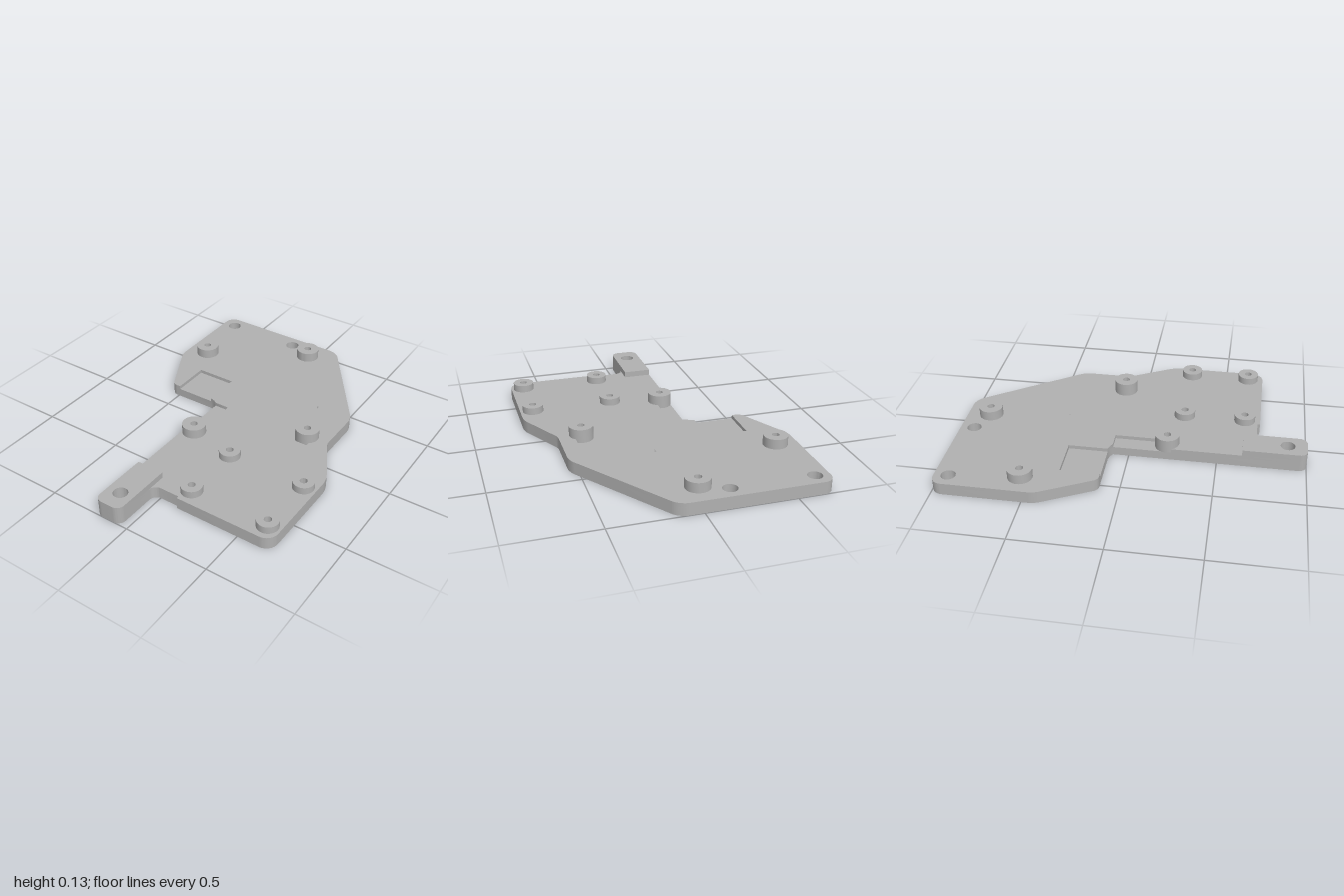
import * as THREE from 'three';
import { toCreasedNormals } from 'three/addons/utils/BufferGeometryUtils.js';

const FLOOR = 0.05, TOP = 0.071, TAB_TOP = 0.106;

// Closed outline from [x, z, cornerCut] points; cornerCut rounds the corner.
function trace(points, path = new THREE.Shape()) {
  const n = points.length;
  const p = points.map(([x, z]) => new THREE.Vector2(x, -z));
  points.forEach(([, , cut = 0], i) => {
    const c = p[i];
    const toward = (q, d) => c.clone().addScaledVector(q.clone().sub(c).normalize(), d);
    const prev = p[(i + n - 1) % n], next = p[(i + 1) % n];
    const a = toward(prev, cut), b = toward(next, cut);
    if (i === 0) path.moveTo(a.x, a.y); else path.lineTo(a.x, a.y);
    if (cut > 0) {
      const c1 = toward(prev, cut * 0.448), c2 = toward(next, cut * 0.448);
      path.bezierCurveTo(c1.x, c1.y, c2.x, c2.y, b.x, b.y);
    }
  });
  path.closePath();
  return path;
}

function circle(x, z, r, path = new THREE.Path()) {
  path.absarc(x, -z, r, 0, Math.PI * 2, false);
  return path;
}

// Extrude a plan shape upwards from y0 to y1.
function slab(name, shape, y0, y1, material) {
  const geo = new THREE.ExtrudeGeometry(shape, { depth: y1 - y0, bevelEnabled: false, curveSegments: 16 });
  geo.rotateX(-Math.PI / 2).translate(0, y0, 0);
  const mesh = new THREE.Mesh(toCreasedNormals(geo, 0.6), material);
  mesh.name = name;
  return mesh;
}

export function createModel() {
  const group = new THREE.Group();
  group.name = 'mountingPlate';
  const grey = new THREE.MeshStandardMaterial({ color: 0xb0b0b0 });
  grey.name = 'grey';

  // Plate outline, with optional notches where pockets break through the edge
  const outline = (sideNotch, cornerNotch) => [
    [-0.705, -1, 0.06], [0.13, -1, 0.05], [0.55, -0.4, 0.04], [0.55, -0.11, 0.02],
    [0.7, 0.165, 0.04], [0.7, 0.73, 0.07], [0.12, 0.73], [0.12, 0.715],
    [-0.042, 0.715, 0.045], [-0.042, 1, 0.045], [-0.205, 1, 0.045],
    ...sideNotch, [-0.205, -0.09], [-0.225, -0.103], [-0.254, -0.112],
    ...cornerNotch, [-0.54, -0.112, 0.025], [-0.705, -0.43, 0.03],
  ];
  const screwHoles = [[-0.624, -0.92], [-0.16, -0.92], [-0.122, 0.89]];
  const drill = (shape) => screwHoles.forEach(([x, z]) => shape.holes.push(circle(x, z, 0.041)));

  // Lower layer: full outline, forms the pocket floors
  const lower = trace(outline([], []));
  drill(lower);
  group.add(slab('plateBase', lower, 0, FLOOR, grey));

  // Upper layer: same outline with edge notches and the stepped pocket
  const upper = trace(outline(
    [[-0.205, 0.2], [-0.115, 0.2], [-0.115, -0.09]],
    [[-0.254, -0.336], [-0.49, -0.336], [-0.49, -0.112]],
  ));
  drill(upper);
  upper.holes.push(trace([
    [0.075, -0.603], [0.322, -0.603], [0.322, -0.4], [0.46, -0.4],
    [0.46, -0.035], [0.058, -0.035], [0.058, -0.4], [0.075, -0.4],
  ], new THREE.Path()));
  group.add(slab('plateTop', upper, FLOOR, TOP, grey));

  // Raised pad on the mounting tab
  const pad = trace([[-0.205, 0.64], [-0.042, 0.64], [-0.042, 1, 0.045], [-0.205, 1, 0.045]]);
  pad.holes.push(circle(-0.122, 0.89, 0.041));
  group.add(slab('tabPad', pad, TOP, TAB_TOP, grey));

  // Standoffs with blind screw holes: [x, z, radius, bottom, top]
  const standoffs = [
    [-0.01, -0.86, 0.069, TOP, 0.128], [-0.577, -0.533, 0.069, TOP, 0.128],
    [0.418, -0.113, 0.069, FLOOR, 0.128], [-0.143, 0.213, 0.069, FLOOR, 0.128],
  ];
  for (const x of [0.152, 0.624]) for (const z of [0.283, 0.638]) standoffs.push([x, z, 0.061, TOP, 0.113]);
  standoffs.forEach(([x, z, r, y0, y1]) => {
    const ring = circle(x, z, r, new THREE.Shape());
    ring.holes.push(circle(x, z, 0.021));
    group.add(slab('standoff', ring, y0, y1, grey));
  });

  return group;
}
